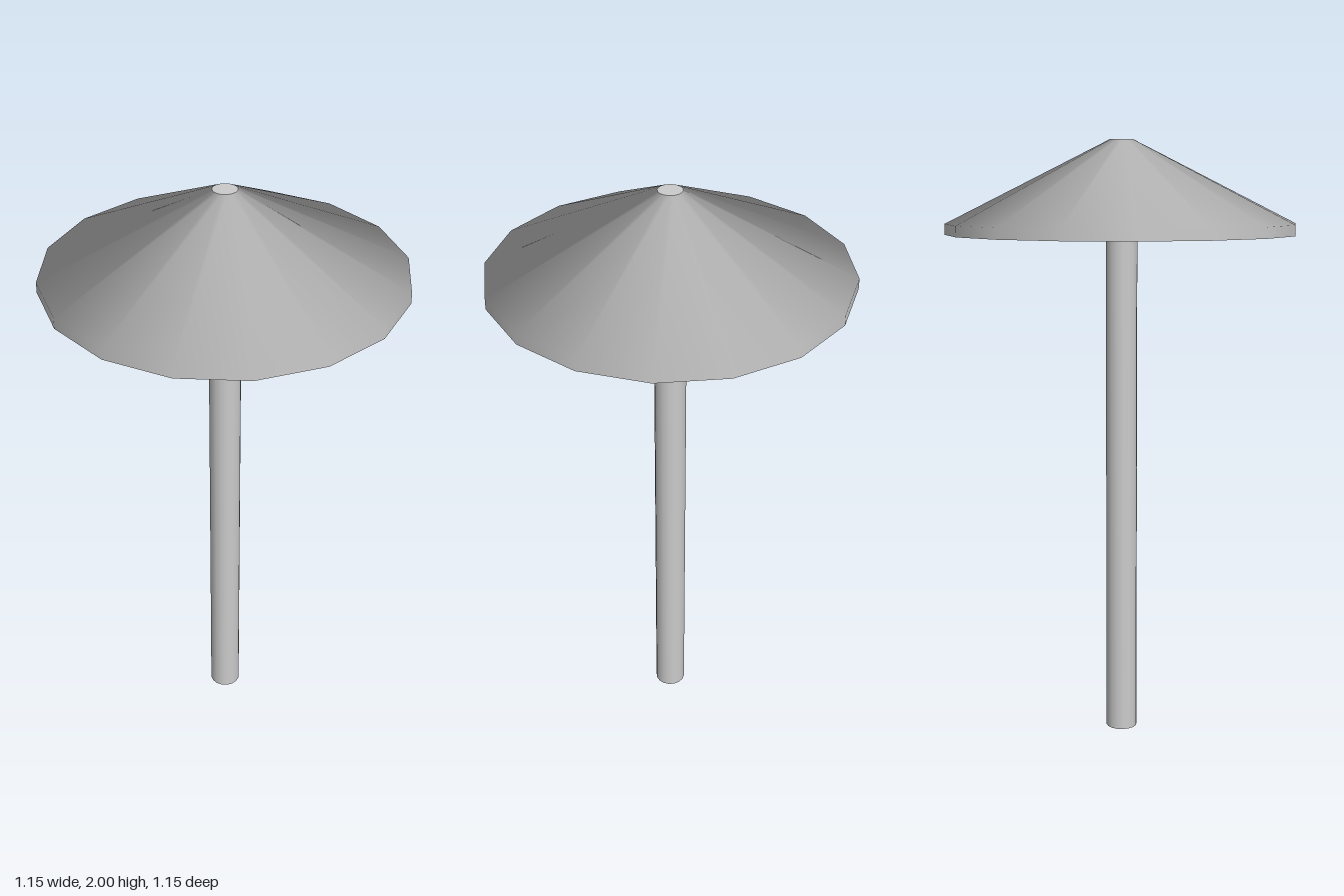
import * as THREE from 'three';

const SIDES = 16;
const BASE = 1.695, RIM_TOP = 1.73, TOP = 2;
const RADIUS = 0.577, TOP_RADIUS = 0.039;

// Closed drum whose top ring is drawn in to a shallow cone above a short rim.
// The drum's level side normals are kept, so rim and cone shade as one.
function canopyGeometry() {
  const height = TOP - BASE;
  const geometry = new THREE.CylinderGeometry(RADIUS, RADIUS, height, SIDES, 2);
  geometry.translate(0, BASE + height / 2, 0);
  const p = geometry.attributes.position;
  for (let i = 0; i < p.count; i++) {
    const y = p.getY(i);
    if (y > TOP - 0.01) {
      const s = TOP_RADIUS / RADIUS;
      p.setXYZ(i, p.getX(i) * s, TOP, p.getZ(i) * s);
    } else if (y > BASE + 0.01) {
      p.setY(i, RIM_TOP);
    }
  }
  return geometry;
}

export function createModel() {
  const model = new THREE.Group();
  const material = new THREE.MeshStandardMaterial({ color: 0xcccccc });

  // Straight round pole standing on the ground
  const pole = new THREE.Mesh(new THREE.CylinderGeometry(0.052, 0.052, BASE, SIDES), material);
  pole.name = 'pole';
  pole.position.y = BASE / 2;

  // Shallow conical canopy with a flat top and underside
  const canopy = new THREE.Mesh(canopyGeometry(), material);
  canopy.name = 'canopy';

  model.add(pole, canopy);
  return model;
}
